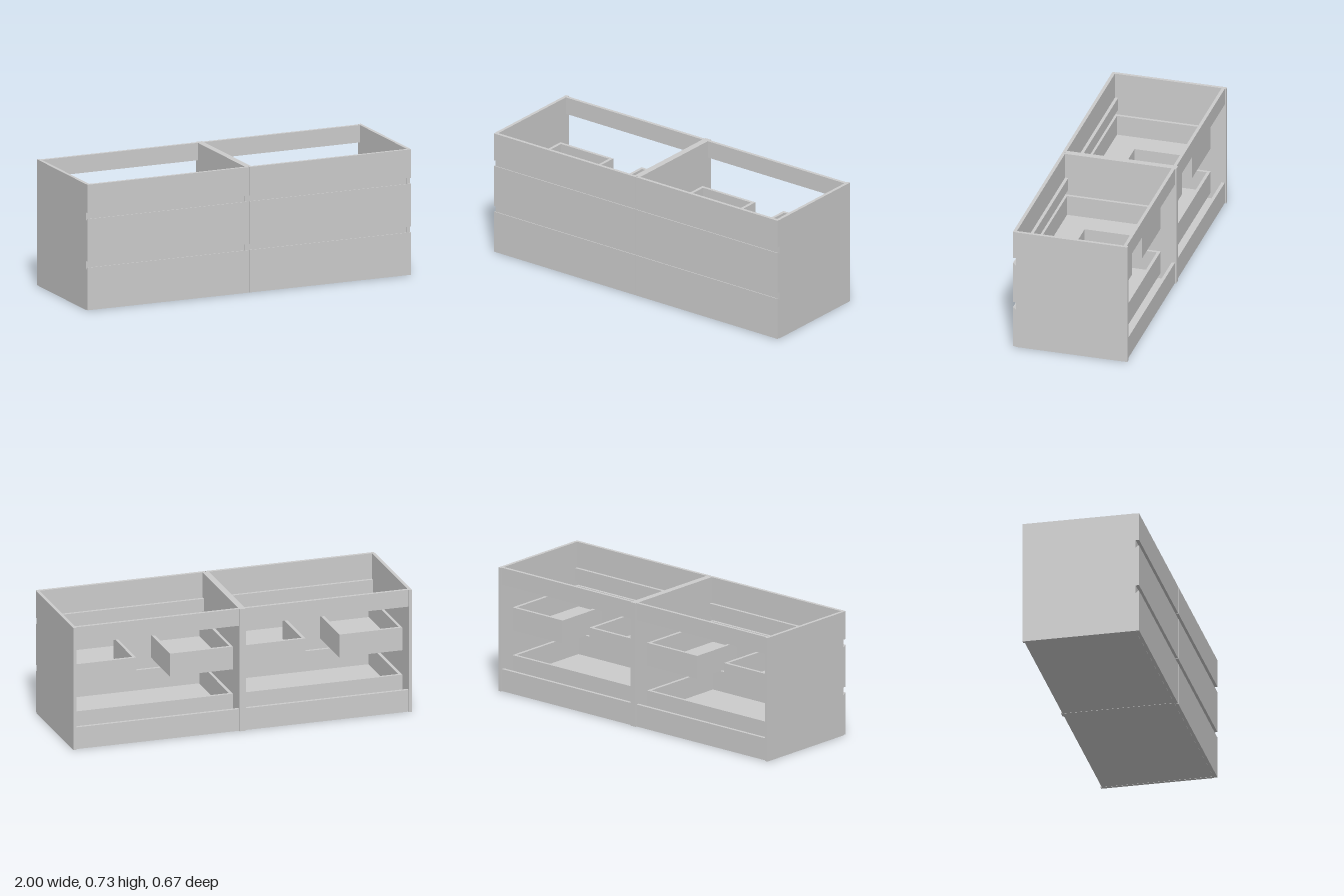
import * as THREE from 'three';

const grey = new THREE.MeshStandardMaterial({ color: 0xcccccc, flatShading: true });
const T = 0.019; // panel thickness

// Box given by its min and max corners
function panel(parent, name, x0, x1, y0, y1, z0, z1) {
  const mesh = new THREE.Mesh(new THREE.BoxGeometry(x1 - x0, y1 - y0, z1 - z0), grey);
  mesh.position.set((x0 + x1) / 2, (y0 + y1) / 2, (z0 + z1) / 2);
  mesh.name = name;
  parent.add(mesh);
}

// Drawer front with a chamfered finger grip behind its upper edge
function gripFront(parent, name, y0, y1) {
  const s = new THREE.Shape([[-0.334, y0], [-0.315, y0], [-0.315, y1 - 0.013], [-0.329, y1], [-0.334, y1]]
    .map(([a, b]) => new THREE.Vector2(a, b)));
  const geo = new THREE.ExtrudeGeometry(s, { depth: 0.996, bevelEnabled: false });
  geo.rotateY(Math.PI / 2); // profile x becomes -z, extrusion runs along x
  geo.translate(-0.498, 0, 0);
  const mesh = new THREE.Mesh(geo, grey);
  mesh.name = name;
  parent.add(mesh);
}

// Open drawer box following a closed rectilinear outline (x, z), counter-clockwise
function drawerBox(name, outline, y0, y1) {
  const group = new THREE.Group();
  group.name = name;
  const floorShape = new THREE.Shape(outline.map(([x, z]) => new THREE.Vector2(x, -z)));
  const floor = new THREE.ExtrudeGeometry(floorShape, { depth: 0.016, bevelEnabled: false });
  floor.rotateX(-Math.PI / 2);
  floor.translate(0, y0, 0);
  const mesh = new THREE.Mesh(floor, grey);
  mesh.name = 'drawerFloor';
  group.add(mesh);

  // The walls are the outline ring, with the inner outline offset towards the inside
  const n = outline.length;
  const inner = outline.map(([x, z], i) => {
    const p = outline[(i + n - 1) % n], q = outline[(i + 1) % n];
    const a = [Math.sign(x - p[0]), Math.sign(z - p[1])];
    const b = [Math.sign(q[0] - x), Math.sign(q[1] - z)];
    return new THREE.Vector2(x + 0.018 * (a[1] + b[1]), -(z - 0.018 * (a[0] + b[0])));
  });
  floorShape.holes.push(new THREE.Path(inner));
  const walls = new THREE.ExtrudeGeometry(floorShape, { depth: y1 - y0 - 0.016, bevelEnabled: false });
  walls.rotateX(-Math.PI / 2);
  walls.translate(0, y0 + 0.016, 0);
  const wallMesh = new THREE.Mesh(walls, grey);
  wallMesh.name = 'drawerWalls';
  group.add(wallMesh);
  return group;
}

// One cabinet, one unit wide, centred on x = 0
function cabinet(name) {
  const g = new THREE.Group();
  g.name = name;
  const inX = 0.5 - T;

  // Carcass
  panel(g, 'rightSidePanel', -0.5, -inX, 0, 0.725, -0.334, 0.315);
  panel(g, 'leftSidePanel', inX, 0.5, 0, 0.725, -0.334, 0.315);
  panel(g, 'bottomPanel', -inX, inX, 0.001, T, -0.326, 0.315);
  panel(g, 'backTopRail', -inX, inX, 0.625, 0.725, -0.326, -0.307);
  panel(g, 'backBottomRail', -inX, inX, T, 0.13, -0.326, -0.307);

  // Rails closing the grip gaps
  for (const y of [0.22, 0.5]) panel(g, 'frontRail', -inX, inX, y, y + 0.075, 0.296, 0.314);

  // Fronts
  gripFront(g, 'lowerDrawerFront', 0.002, 0.247);
  gripFront(g, 'upperDrawerFront', 0.281, 0.527);
  panel(g, 'topFront', -0.498, 0.498, 0.561, 0.725, 0.315, 0.334);

  // Drawer boxes: plain below, notched around the plumbing above
  const w = 0.472, back = -0.246, front = 0.313;
  g.add(drawerBox('lowerDrawer', [[-w, front], [w, front], [w, back], [-w, back]], 0.06, 0.195));
  g.add(drawerBox('upperDrawer', [
    [-w, front], [w, front], [w, back], [0.099, back],
    [0.099, 0.089], [-0.099, 0.089], [-0.099, back], [-w, back],
  ], 0.34, 0.475));
  return g;
}

export function createModel() {
  const model = new THREE.Group();
  model.name = 'doubleVanityCabinet';
  for (const [name, x] of [['rightCabinet', -0.5], ['leftCabinet', 0.5]]) {
    const c = cabinet(name);
    c.position.x = x;
    model.add(c);
  }
  return model;
}
